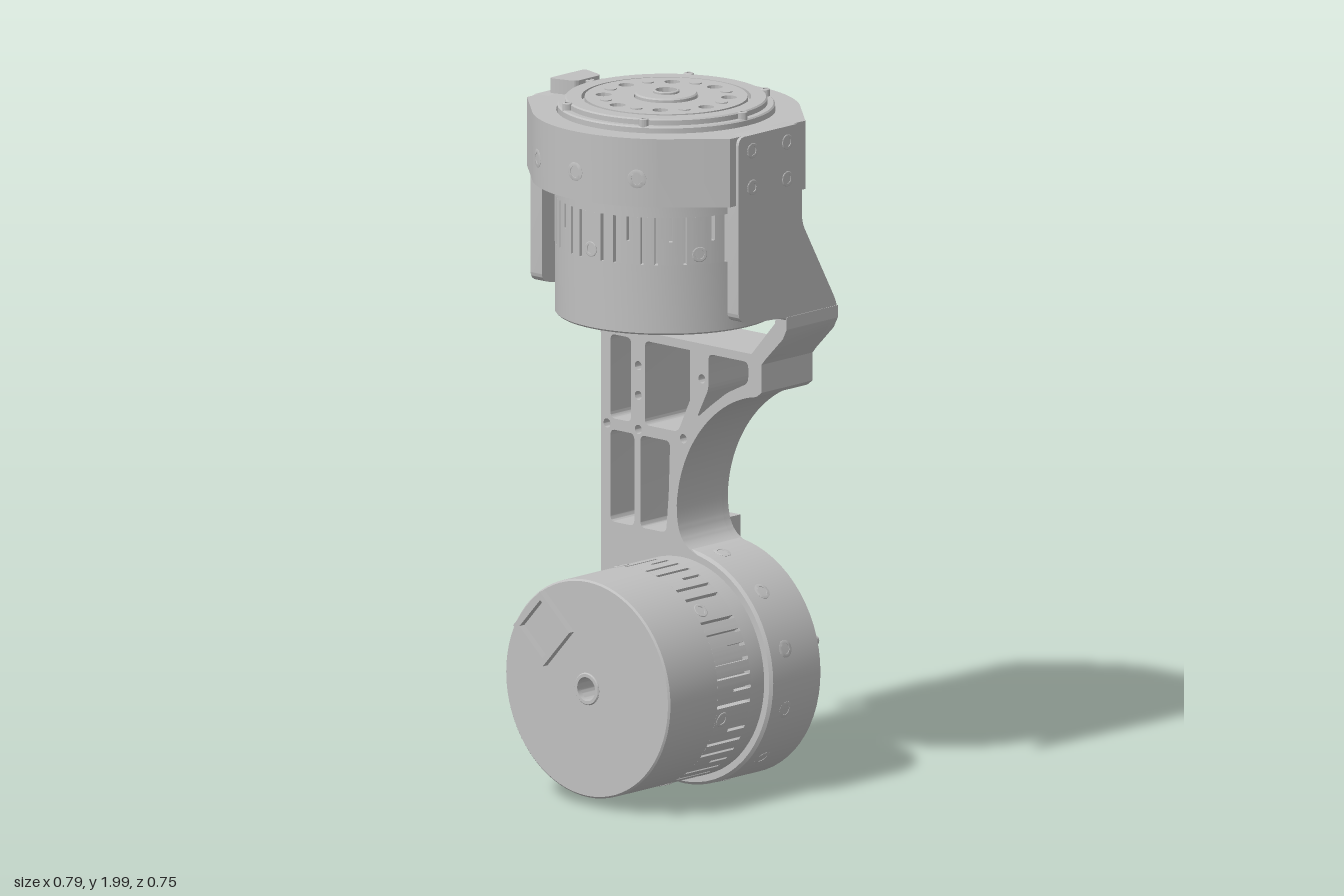
import * as THREE from 'three';
import { mergeGeometries, toCreasedNormals } from 'three/addons/utils/BufferGeometryUtils.js';

const TAU = Math.PI * 2, DEG = Math.PI / 180;
const metal = new THREE.MeshStandardMaterial({ color: 0xc0c0c0 });
metal.name = 'machined grey';

function add(parent, name, geometry) {
  const m = new THREE.Mesh(geometry, metal);
  m.name = name;
  parent.add(m);
  return m;
}

const lathe = (pts, n = 64) =>
  toCreasedNormals(new THREE.LatheGeometry(pts.map(p => new THREE.Vector2(...p)), n), 0.4);

// Closed ring around y
const ring = (r0, r1, y0, y1, n = 64, c = 0.004) =>
  lathe([[r0, y0], [r1 - c, y0], [r1, y0 + c], [r1, y1 - c], [r1 - c, y1], [r0, y1], [r0, y0]], n);

const extrude = (shape, depth, curveSegments = 24) =>
  toCreasedNormals(new THREE.ExtrudeGeometry(shape, { depth, bevelEnabled: false, curveSegments }), 0.4);

// Extrusion that grows upward from y0
const slab = (shape, y0, y1, seg) => extrude(shape, y1 - y0, seg).rotateX(-Math.PI / 2).translate(0, y0, 0);

const circle = (r, x = 0, y = 0) => new THREE.Path().absarc(x, y, r, 0, TAU, true);

// Polygon with rounded corners
function rounded(pts, r) {
  const v = pts.map(p => new THREE.Vector2(...p)), s = new THREE.Shape();
  v.forEach((p, i) => {
    const a = v[(i + v.length - 1) % v.length], b = v[(i + 1) % v.length];
    const toward = q => p.clone().lerp(q, Math.min(0.45, r / p.distanceTo(q)));
    const s0 = toward(a), s1 = toward(b);
    i ? s.lineTo(s0.x, s0.y) : s.moveTo(s0.x, s0.y);
    s.quadraticCurveTo(p.x, p.y, s1.x, s1.y);
  });
  s.closePath();
  return s;
}

// Arc-shaped wall piece, angles in degrees measured from +z toward +x
function sector(r0, r1, a0, a1, y0, y1) {
  const s = new THREE.Shape(), b = a0 * DEG - Math.PI / 2, e = a1 * DEG - Math.PI / 2;
  s.absarc(0, 0, r1, b, e, false);
  s.absarc(0, 0, r0, e, b, true);
  s.closePath();
  return slab(s, y0, y1, Math.max(2, Math.round((a1 - a0) / 2.5)));
}

// Screw collar pointing along +y
const collar = (r = 0.022) =>
  lathe([[r * 0.55, -0.004], [r, -0.004], [r, 0.001], [r * 0.9, 0.002], [r * 0.6, 0.002], [r * 0.55, -0.004]], 16);

// Screw collar on a cylinder wall
const wallScrew = (phi, r, y, size) =>
  collar(size).rotateX(Math.PI / 2).translate(0, y, r).rotateY(phi * DEG);

// Motor: closed end at y = 0, output flange at the top
function motor(bodyLength, top) {
  const g = new THREE.Group();
  add(g, 'motorBody', lathe([
    [0.035, 0], [0.305, 0], [0.31, 0.005], [0.31, 0.2], [0.288, 0.2],
    [0.288, 0.335], [0.31, 0.335], [0.31, bodyLength], [0.3, bodyLength], [0.3, top - 0.012],
    [0.035, top - 0.012], [0.035, 0]], 72));

  // Slotted ventilation band, solid behind each screw
  const walls = [], screws = [];
  const slots = [...Array(48).keys()].filter(i => i % 8 !== 6);
  slots.forEach((c, i) => {
    const next = i + 1 < slots.length ? slots[i + 1] : slots[0] + 48;
    walls.push(sector(0.286, 0.31, c * 7.5 + 0.9, next * 7.5 - 0.9, 0.2, 0.335));
    if (c % 3 === 0) walls.push(sector(0.286, 0.31, c * 7.5 - 0.9, c * 7.5 + 0.9, 0.2, 0.265));
  });
  for (let k = 0; k < 6; k++) screws.push(wallScrew(45 + 60 * k, 0.31, 0.228, 0.022));
  add(g, 'slottedBand', mergeGeometries(walls));
  add(g, 'bodyScrews', mergeGeometries(screws));
  add(g, 'endCollar', ring(0.034, 0.046, -0.004, 0.01, 32, 0.003));

  // Square cable socket on the closed end
  const square = h => [[-h, -h], [h, -h], [h, h], [-h, h]].map(p => new THREE.Vector2(...p));
  const frame = new THREE.Shape(square(0.075));
  frame.holes.push(new THREE.Path(square(0.058).reverse()));
  const socket = add(g, 'cableSocket', slab(frame, -0.02, 0.005));
  socket.rotation.y = 42 * DEG;
  socket.position.set(-0.155, 0, 0.15);

  // Output flange
  const f = new THREE.Group();
  f.name = 'outputFlange';
  f.position.y = top;
  g.add(f);
  add(f, 'flangeRim', ring(0.25, 0.303, -0.02, 0.018));
  add(f, 'flangeOuterPlate', ring(0.236, 0.282, -0.012, 0.036));
  const plate = new THREE.Shape().absarc(0, 0, 0.227, 0, TAU, false);
  plate.holes.push(circle(0.09));
  const pins = [], bolts = [], seats = [];
  for (let k = 0; k < 8; k++) {
    const a = (82 + 45 * k) * DEG, b = a + 22.5 * DEG;
    const x = 0.175 * Math.cos(a), y = 0.175 * Math.sin(a);
    plate.holes.push(circle(0.022, x, y));
    seats.push(ring(0.011, 0.022, -0.012, 0.022, 16, 0.001).translate(x, 0, -y));
    pins.push(new THREE.CylinderGeometry(0.017, 0.017, 0.01, 20)
      .translate(0.175 * Math.cos(b), 0.035, -0.175 * Math.sin(b)));
  }
  for (let k = 0; k < 6; k++) {
    const a = (15 + k * 60) * DEG;
    bolts.push(ring(0.007, 0.014, -0.01, 0.038, 16, 0.002).translate(0.288 * Math.sin(a), 0, 0.288 * Math.cos(a)));
  }
  add(f, 'flangeFace', slab(plate, -0.012, 0.037));
  add(f, 'flangeFloor', ring(0.035, 0.24, -0.014, 0.018));
  add(f, 'boltSeats', mergeGeometries(seats));
  add(f, 'dowelPins', mergeGeometries(pins));
  add(f, 'rimBolts', mergeGeometries(bolts));
  add(f, 'hub', ring(0.035, 0.087, -0.012, 0.048));
  add(f, 'hubLip', ring(0.03, 0.037, -0.012, 0.055, 32, 0.002));
  return g;
}

export function createModel() {
  const model = new THREE.Group();

  // Upper motor and its clamp
  const upper = motor(0.38, 0.575);
  upper.name = 'upperMotor';
  upper.position.y = 1.37;
  upper.rotation.y = -45 * DEG;
  model.add(upper);

  const clamp = new THREE.Shape();
  clamp.absarc(0, 0, 0.375, 51 * DEG, 129 * DEG, false);
  clamp.lineTo(-0.383, 0.155);
  clamp.lineTo(-0.383, -0.155);
  clamp.absarc(0, 0, 0.375, 231 * DEG, 309 * DEG, false);
  clamp.lineTo(0.383, -0.155);
  clamp.lineTo(0.383, 0.155);
  clamp.closePath();
  clamp.holes.push(circle(0.306));
  add(model, 'upperClamp', slab(clamp, 1.75, 1.945, 32));
  add(model, 'upperClampScrews', mergeGeometries(
    [0, 30, -30, 180, 150, 210].map(p => wallScrew(p, 0.374, 1.83, 0.027))));
  add(model, 'upperTab', slab(rounded(
    [[-0.375, -0.075], [-0.293, -0.052], [-0.293, 0.052], [-0.375, 0.075]], 0.015), 1.94, 1.987));

  // Lower motor and its clamp
  const lower = motor(0.39, 0.6);
  lower.name = 'lowerMotor';
  lower.position.set(0, 0.345, 0.325);
  lower.rotation.x = -Math.PI / 2;
  add(lower, 'lowerClamp', ring(0.306, 0.337, 0.39, 0.6, 64, 0.008));
  add(lower, 'lowerClampScrews', mergeGeometries(
    [...Array(12).keys()].map(k => wallScrew(15 + 30 * k, 0.336, 0.46, 0.025))));
  model.add(lower);
  add(model, 'topTab', new THREE.BoxGeometry(0.07, 0.08, 0.045)).position.set(-0.045, 0.692, -0.293);
  add(model, 'sideTab', new THREE.BoxGeometry(0.05, 0.085, 0.055)).position.set(-0.315, 0.345, -0.298);

  // Column outline with yoke bends at the top
  const outline = () => {
    const s = new THREE.Shape();
    [[-0.395, 1.4], [-0.395, 1.365], [-0.38, 1.335], [-0.315, 1.268], [-0.305, 1.245], [-0.305, 0.55], [-0.322, 0.44],
      [-0.2, 0.45], [0.07, 0.55], [0.1, 0.655]].forEach((p, i) => i ? s.lineTo(...p) : s.moveTo(...p));
    s.bezierCurveTo(0.03, 0.68, -0.02, 0.68, -0.02, 0.8);
    s.bezierCurveTo(-0.01, 0.98, 0.13, 1.13, 0.28, 1.155);
    [[0.3, 1.17], [0.3, 1.25], [0.315, 1.268], [0.38, 1.335], [0.395, 1.365], [0.395, 1.4], [0.355, 1.4], [0.35, 1.375],
      [0.262, 1.275], [-0.262, 1.275], [-0.35, 1.375], [-0.355, 1.4]].forEach(p => s.lineTo(...p));
    s.closePath();
    [[-0.165, 1.175], [-0.165, 1.09], [0.075, 1.175], [-0.283, 0.993], [-0.165, 0.993], [0.005, 0.993]]
      .forEach(([x, y]) => s.holes.push(circle(0.013, x, y)));
    return s;
  };
  // Ribbed front layer with pockets, thin solid back layer
  const ribs = outline();
  [[[-0.27, 0.715], [-0.18, 0.715], [-0.18, 0.978], [-0.27, 0.978]],
    [[-0.157, 0.715], [-0.06, 0.715], [-0.05, 0.83], [-0.045, 0.978], [-0.157, 0.978]],
    [[-0.27, 1.01], [-0.192, 1.01], [-0.192, 1.25], [-0.27, 1.25]],
    [[-0.14, 1.01], [-0.015, 1.01], [0.05, 1.15], [0.05, 1.25], [-0.14, 1.25]],
    [[0.1, 1.25], [0.1, 1.15], [0.055, 1.06], [0.11, 1.105], [0.17, 1.15], [0.25, 1.19], [0.25, 1.25]]]
    .forEach(p => ribs.holes.push(rounded(p, 0.018)));
  add(model, 'columnRibs', extrude(ribs, 0.185).translate(0, 0, -0.25));
  add(model, 'columnBackPlate', extrude(outline(), 0.025).translate(0, 0, -0.275));
  add(model, 'columnSideScrews', mergeGeometries([1.13, 0.8].map(y =>
    collar(0.02).rotateZ(Math.PI / 2).translate(-0.305, y, -0.17))));

  // Side arms of the yoke, drawn in z and y, mirrored left and right
  const arm = rounded([[-0.13, 1.945], [-0.13, 1.42], [-0.075, 1.408], [0.065, 1.4], [0.07, 1.37],
    [0.275, 1.37], [0.272, 1.41], [0.13, 1.66], [0.13, 1.945]], 0.025);
  for (const side of [-1, 1]) {
    const a = new THREE.Group();
    a.name = side > 0 ? 'leftArm' : 'rightArm';
    model.add(a);
    add(a, 'armPlate', extrude(arm, 0.043).rotateY(Math.PI / 2).translate(side > 0 ? 0.35 : -0.393, 0, 0));
    const screws = [];
    for (const z of [0.073, -0.07]) for (const y of [1.9, 1.795])
      screws.push(collar(0.022).rotateZ(-side * Math.PI / 2).translate(side * 0.393, y, z));
    add(a, 'armScrews', mergeGeometries(screws));
  }
  return model;
}
